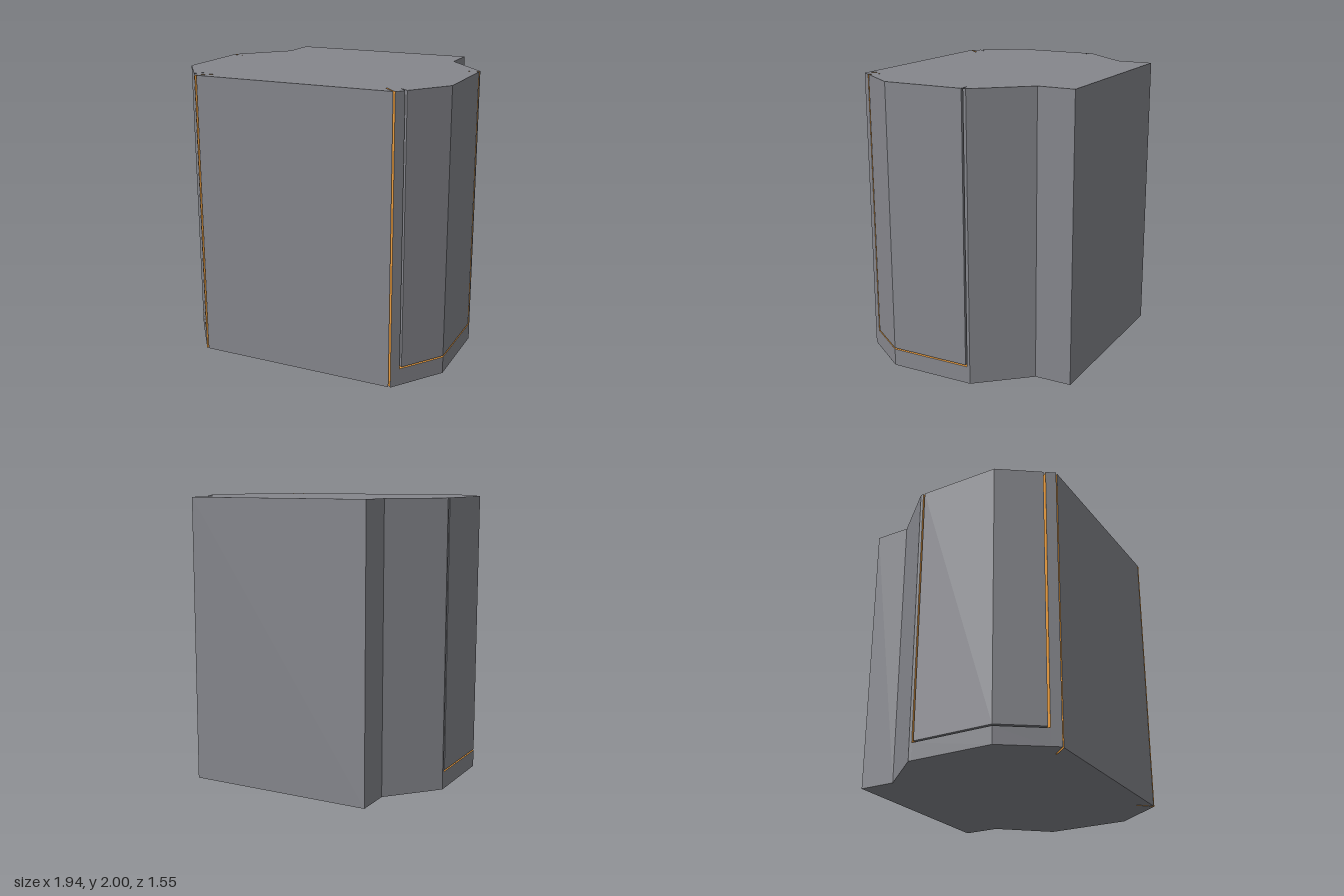
import * as THREE from 'three';
import { mergeGeometries } from 'three/addons/utils/BufferGeometryUtils.js';

const HEIGHT = 2, SLOT_LOW = 0.12, SLOT_HIGH = 0.13;

// Plan points [x, z] of the +x half, running from back to front
const BACK = [0.667, -0.78], NOTCH = [0.667, -0.52], SHOULDER = [0.968, -0.178];
const HINGE = [[0.968, -0.157], [0.873, -0.139], [0.968, -0.145]];
const ELBOW = [0.968, 0.43], INNER_ELBOW = [0.87, 0.4];
const LATCH = [[0.769, 0.704], [0.695, 0.645], [0.76, 0.716]];
const CORNER = [[0.718, 0.775], [0.625, 0.677], [0.617, 0.683], [0.704, 0.775]];

const mirror = (points) => points.map(([x, z]) => [-x, z]).reverse();

// Vertical strip along a plan path, facing outward, with flat normals
function wall(path, y0, y1) {
  const pos = [], uv = [];
  for (let i = 0; i + 1 < path.length; i++) {
    const [px, pz] = path[i], [qx, qz] = path[i + 1];
    pos.push(px, y0, pz, px, y1, pz, qx, y1, qz, px, y0, pz, qx, y1, qz, qx, y0, qz);
    uv.push(0, 0, 0, 1, 1, 1, 0, 0, 1, 1, 1, 0);
  }
  const g = new THREE.BufferGeometry();
  g.setAttribute('position', new THREE.Float32BufferAttribute(pos, 3));
  g.setAttribute('uv', new THREE.Float32BufferAttribute(uv, 2));
  g.computeVertexNormals();
  return g;
}

// Horizontal face from a plan outline, facing up or down
function cap(outline, y, up) {
  const s = up ? -1 : 1;
  const shape = new THREE.Shape(outline.map(([x, z]) => new THREE.Vector2(x, s * z)));
  return new THREE.ShapeGeometry(shape).rotateX(s * Math.PI / 2).translate(0, y, 0).toNonIndexed();
}

export function createModel() {
  const group = new THREE.Group();
  const shell = new THREE.MeshStandardMaterial({ color: 0x85868c, side: THREE.DoubleSide });
  const orange = new THREE.MeshStandardMaterial({ color: 0xf0a040, side: THREE.DoubleSide });
  const add = (name, material, parts) => {
    const mesh = new THREE.Mesh(mergeGeometries(parts), material);
    mesh.name = name;
    group.add(mesh);
  };

  // Top and bottom: only the front corner slits reach the bottom
  const topHalf = [BACK, NOTCH, SHOULDER, ...HINGE, ELBOW, ...LATCH, ...CORNER];
  const bottomHalf = [BACK, NOTCH, SHOULDER, ELBOW, ...CORNER];
  add('top', shell, [cap([...topHalf, ...mirror(topHalf)], HEIGHT, true)]);
  add('bottom', shell, [cap([...bottomHalf, ...mirror(bottomHalf)], 0, false)]);

  // Front and back panels
  const front = CORNER[3];
  add('frontPanel', shell, [wall([front, [-front[0], front[1]]], 0, HEIGHT)]);
  add('backPanel', shell, [wall([[-BACK[0], BACK[1]], BACK], 0, HEIGHT)]);

  for (const side of ['left', 'right']) {
    const m = side === 'left' ? (p) => p : mirror;
    const [h1, h2, h3] = HINGE, [l1, l2, l3] = LATCH;

    // Fixed frame around the door
    add(side + 'Frame', shell, [
      wall(m([BACK, NOTCH, SHOULDER, h1]), 0, HEIGHT),
      wall(m([l3, CORNER[0]]), 0, HEIGHT),
    ]);
    // Sill under the door
    add(side + 'Sill', shell, [wall(m([h1, ELBOW, l3]), 0, SLOT_LOW)]);
    // Orange lining of the door gap, on the frame side
    add(side + 'GapLining', orange, [
      wall(m([h1, h2]), SLOT_LOW, HEIGHT),
      wall(m([l2, l3]), SLOT_LOW, HEIGHT),
      wall(m([h2, INNER_ELBOW, l2]), SLOT_LOW, SLOT_HIGH),
      cap(m([h1, ELBOW, l3, l2, INNER_ELBOW, h2]), SLOT_LOW, true),
    ]);
    // Orange lining of the full-height slit at the front corner
    add(side + 'CornerSlit', orange, [wall(m(CORNER), 0, HEIGHT)]);
    // Folded door panel with its edges and underside
    add(side + 'Door', shell, [
      wall(m([h2, h3, ELBOW, l1, l2]), SLOT_HIGH, HEIGHT),
      cap(m([h3, ELBOW, l1, l2, INNER_ELBOW, h2]), SLOT_HIGH, false),
    ]);
  }
  return group;
}
